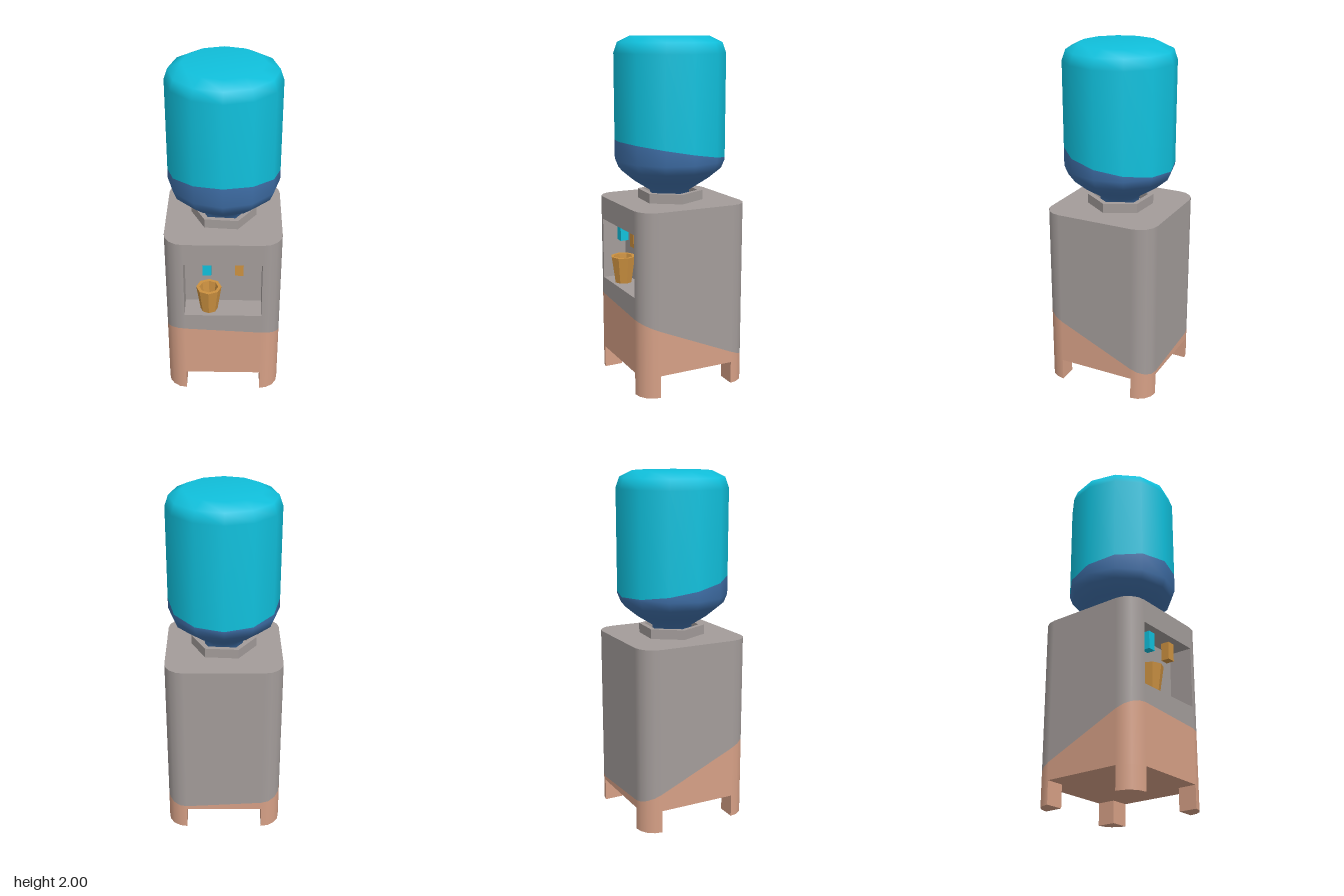
import * as THREE from 'three';

const mat = (name, color) => {
  const m = new THREE.MeshStandardMaterial({ color });
  m.name = name;
  return m;
};

// Strip of upright quads along a chain of {x, z, nx, nz}; lo and hi are heights or rules.
function wall(points, lo, hi, flat = false) {
  const at = (h, p) => (typeof h === 'function' ? h(p) : h);
  const pos = [], nor = [];
  for (let i = 0; i + 1 < points.length; i++) {
    const a = points[i], b = points[i + 1];
    const len = Math.hypot(b.x - a.x, b.z - a.z);
    const face = { nx: -(b.z - a.z) / len, nz: (b.x - a.x) / len };
    const corners = [[a, lo], [b, lo], [b, hi], [a, lo], [b, hi], [a, hi]];
    for (const [p, h] of corners) {
      const n = flat ? face : p;
      pos.push(p.x, at(h, p), p.z);
      nor.push(n.nx, 0, n.nz);
    }
  }
  const g = new THREE.BufferGeometry();
  g.setAttribute('position', new THREE.Float32BufferAttribute(pos, 3));
  g.setAttribute('normal', new THREE.Float32BufferAttribute(nor, 3));
  return g;
}

// Flat horizontal polygon facing up or down.
function cap(points, y, up) {
  const s = up ? -1 : 1;
  const shape = new THREE.Shape(points.map(p => new THREE.Vector2(p.x, s * p.z)));
  return new THREE.ShapeGeometry(shape).rotateX(s * Math.PI / 2).translate(0, y, 0);
}

function faceted(geometry) {
  const g = geometry.toNonIndexed();
  g.computeVertexNormals();
  return g;
}

const profile = pts => pts.map(([r, y]) => new THREE.Vector2(r, y));

export function createModel() {
  const model = new THREE.Group();
  const grey = mat('grey casing', 0xa39c9a);
  const peach = mat('peach base', 0xd6a086);
  const teal = mat('teal bottle', 0x10c0dc);
  const blue = mat('blue water', 0x3f6fa8);
  const gold = mat('golden brown', 0xcc9140);

  const group = name => {
    const g = new THREE.Group();
    g.name = name;
    model.add(g);
    return g;
  };
  const add = (parent, name, geometry, material) => {
    const m = new THREE.Mesh(geometry, material);
    m.name = name;
    parent.add(m);
    return m;
  };

  // Rounded square outline, four segments per corner
  const R = 0.11, CX = 0.223, CZ = 0.227, Z0 = -0.004;
  const ring = [], corners = [];
  for (let k = 0; k < 4; k++) {
    const sx = k < 2 ? 1 : -1, sz = k === 0 || k === 3 ? 1 : -1;
    const arc = [];
    for (let j = 0; j <= 4; j++) {
      const t = (k + j / 4) * Math.PI / 2;
      const nx = Math.sin(t), nz = Math.cos(t);
      arc.push({ x: sx * CX + R * nx, z: Z0 + sz * CZ + R * nz, nx, nz });
    }
    corners.push({ arc, inner: { x: sx * CX, z: Z0 + sz * CZ } });
    ring.push(...arc);
  }
  const front = [ring[19], ring[0]];
  const FLOOR = 0.13, TOP = 1.07, N0 = 0.575, N1 = 0.935;
  const slope = p => 0.314 - 0.055 * p.x + 0.438 * p.z;

  // Casing above the sloping colour line, with the front opening left free
  const casing = group('casing');
  add(casing, 'casingSides', wall(ring, slope, TOP), grey);
  add(casing, 'frontBelowNiche', wall(front, slope, N0, true), grey);
  add(casing, 'frontAboveNiche', wall(front, N1, TOP, true), grey);
  add(casing, 'casingTop', cap(ring, TOP, true), grey);

  // Dispensing niche
  const zb = 0.19;
  const recess = [front[0], { x: -CX, z: zb }, { x: CX, z: zb }, front[1]];
  const niche = group('niche');
  add(niche, 'nicheWalls', wall(recess, N0, N1, true), grey);
  add(niche, 'nicheFloor', cap(recess, N0, true), grey);
  add(niche, 'nicheCeiling', cap(recess, N1, false), grey);

  // Base and corner legs
  const base = group('base');
  add(base, 'baseSides', wall([...ring, ring[0]], FLOOR, slope), peach);
  add(base, 'baseUnderside', cap(ring, FLOOR, false), peach);
  for (const { arc, inner } of corners) {
    const leg = new THREE.Group();
    leg.name = 'leg';
    base.add(leg);
    add(leg, 'legOutside', wall(arc, 0, FLOOR), peach);
    add(leg, 'legInside', wall([arc[4], inner, arc[0]], 0, FLOOR, true), peach);
    add(leg, 'legFoot', cap([...arc, inner], 0, false), peach);
  }

  // Taps
  for (const [name, x, m] of [['coldTap', -0.092, teal], ['hotTap', 0.092, gold]]) {
    const tap = add(model, name, new THREE.BoxGeometry(0.05, 0.105, 0.05), m);
    tap.position.set(x, 0.8825, 0.262);
  }

  // Hollow eight-sided cup
  const cup = add(model, 'cup', faceted(new THREE.LatheGeometry(profile([
    [0, 0.578], [0.05, 0.578], [0.073, 0.735], [0.054, 0.735], [0.038, 0.6], [0, 0.6],
  ]), 8)), gold);
  cup.position.set(-0.082, 0, 0.267);

  // Six-sided collar
  add(model, 'collar', faceted(new THREE.LatheGeometry(profile([
    [0.19, TOP], [0.19, 1.125], [0.158, 1.125], [0.158, TOP],
  ]), 6, THREE.MathUtils.degToRad(25.5))), grey);

  // Bottle: water and clear shell meet along a tilted line
  const LEVEL = 1.365;
  const tilt = g => {
    const p = g.attributes.position;
    for (let i = 0; i < p.count; i++) {
      if (Math.abs(p.getY(i) - LEVEL) < 1e-4) p.setY(i, LEVEL + 0.175 * p.getZ(i));
    }
    return g;
  };
  const bottle = group('bottle');
  bottle.position.z = 0.004;
  add(bottle, 'water', tilt(new THREE.LatheGeometry(profile([
    [0.11, TOP], [0.115, 1.125], [0.225, 1.195], [0.298, 1.255], [0.318, 1.305], [0.318, LEVEL],
  ]), 12)), blue);
  add(bottle, 'bottleShell', tilt(new THREE.LatheGeometry(profile([
    [0.318, LEVEL], [0.318, 1.905], [0.297, 1.965], [0.225, 2], [0, 2],
  ]), 12)), teal);

  return model;
}
